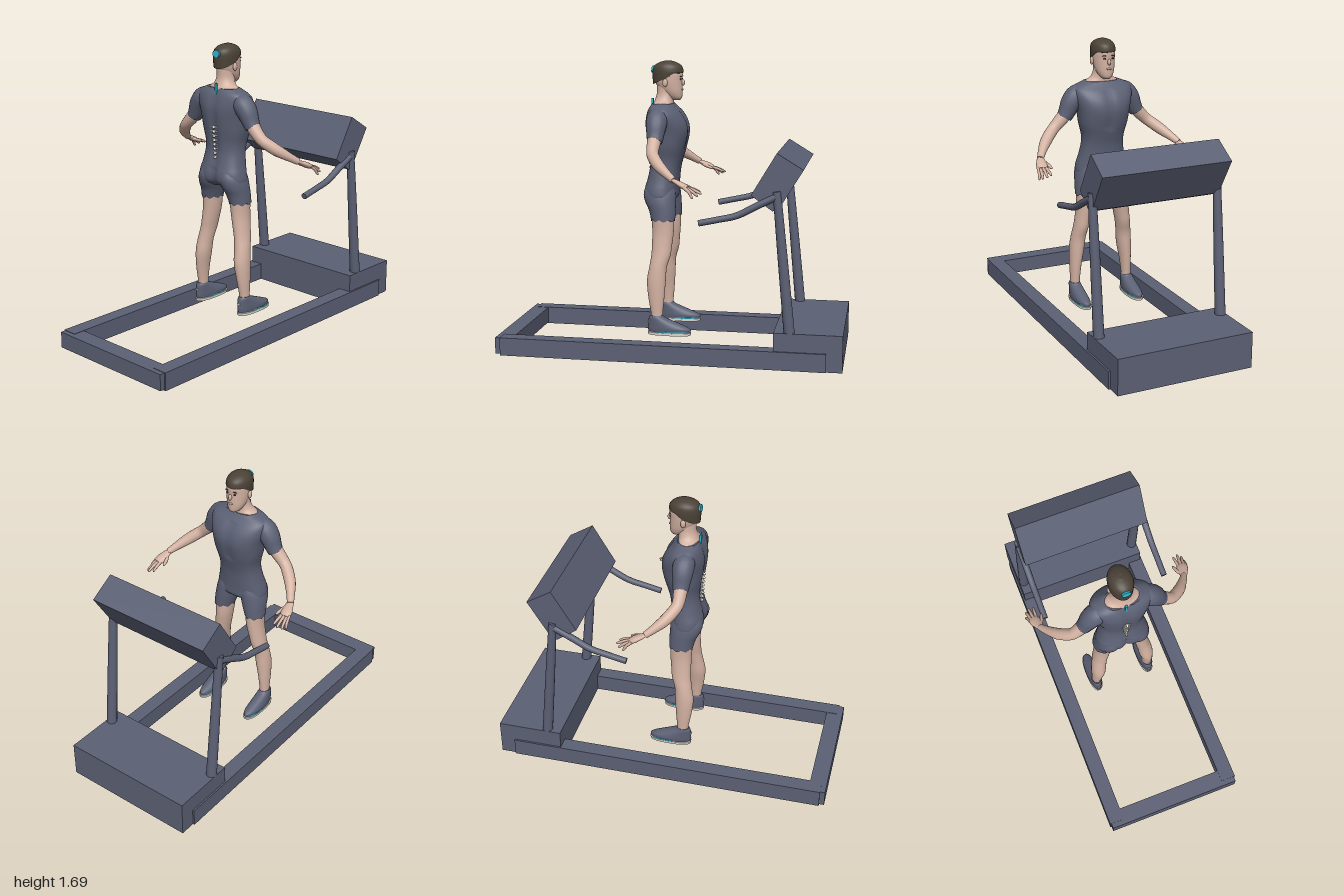
import * as THREE from 'three';

const mat = (name, color) => {
  const m = new THREE.MeshStandardMaterial({ color });
  m.name = name;
  return m;
};

// Smoothly resample rows of numbers, four steps per span
function resample(rows, steps = 4) {
  const size = rows[0].length;
  const spline = new THREE.CubicInterpolant(
    new Float32Array(rows.map((_, i) => i)), new Float32Array(rows.flat()), size);
  const out = [];
  for (let i = 0; i <= (rows.length - 1) * steps; i++) out.push(Array.from(spline.evaluate(i / steps)));
  return out;
}

// Skin a list of closed rings and cap both ends with a crisp edge
function skin(rings) {
  const n = rings[0].length;
  const centre = (ring) => {
    const c = new THREE.Vector3();
    ring.forEach((p) => c.add(p));
    c.divideScalar(n);
    return ring.map(() => c);
  };
  const first = rings[0], last = rings[rings.length - 1];
  const all = [centre(first), first, ...rings, last, centre(last)];
  const index = [];
  for (let i = 0; i < all.length - 1; i++) {
    for (let j = 0; j < n; j++) {
      const k = (j + 1) % n;
      const a = i * n + j, b = a + n, c = (i + 1) * n + k, d = i * n + k;
      index.push(a, b, c, a, c, d);
    }
  }
  const g = new THREE.BufferGeometry().setFromPoints(all.flat());
  g.setIndex(index);
  g.computeVertexNormals();
  return g;
}

// Upright loft; each section is [y, halfWidth, zFront, zBack, centreX]
function loft(sections, { power = 1, sides = 32, shape = null } = {}) {
  const pw = (v) => Math.sign(v) * Math.abs(v) ** power;
  return skin(resample(sections.map((s) => [s[0], s[1], s[2], s[3], s[4] ?? 0])).map(([y, rx, zf, zb, cx]) =>
    Array.from({ length: sides }, (_, j) => {
      const a = (j / sides) * Math.PI * 2;
      const p = new THREE.Vector3(cx + rx * pw(Math.cos(a)), y,
        (zf + zb) / 2 + ((zb - zf) / 2) * pw(Math.sin(a)));
      if (shape) shape(p, a);
      return p;
    })));
}

// Tapered limb through [x, y, z, radius]; flat squeezes its height
function limb(points, flat = 1, sides = 16) {
  const rows = resample(points);
  const X = new THREE.Vector3(1, 0, 0);
  const at = (i) => new THREE.Vector3(...rows[Math.min(Math.max(i, 0), rows.length - 1)].slice(0, 3));
  return skin(rows.map((row, i) => {
    const t = at(i + 1).sub(at(i - 1)).normalize();
    const u = t.clone().cross(X).normalize();
    const v = t.clone().cross(u);
    return Array.from({ length: sides }, (_, j) => {
      const a = (j / sides) * Math.PI * 2;
      return at(i).addScaledVector(u, row[3] * flat * Math.cos(a)).addScaledVector(v, -row[3] * Math.sin(a));
    });
  }));
}

export function createModel() {
  const slate = mat('slate', 0x5b6074), skinTone = mat('skin', 0xd3b2a2), hairBrown = mat('hairBrown', 0x4b4237);
  const teal = mat('teal', 0x2fb4cc), bone = mat('bone', 0xe4e2da), dark = mat('dark', 0x33302f);
  const model = new THREE.Group();
  const treadmill = new THREE.Group(), person = new THREE.Group();
  treadmill.name = 'treadmill';
  person.name = 'person';
  model.add(treadmill, person);

  const add = (parent, name, geometry, material, x = 0, y = 0, z = 0) => {
    const m = new THREE.Mesh(geometry, material);
    m.name = name;
    m.position.set(x, y, z);
    parent.add(m);
    return m;
  };
  const ball = (parent, name, material, r, pos, scale) =>
    add(parent, name, new THREE.SphereGeometry(r, 20, 14), material, ...pos).scale.set(...scale);

  // Treadmill base
  add(treadmill, 'rearCrossbar', new THREE.BoxGeometry(0.82, 0.095, 0.1), slate, 0, 0.055, 0.95);
  add(treadmill, 'motorHousing', new THREE.BoxGeometry(0.815, 0.21, 0.385), slate, 0, 0.105, -0.8075);

  // Console: a slanted profile stretched across the width
  const profile = new THREE.Shape([[0.62, 1.21], [0.48, 0.975], [0.60, 0.89], [0.636, 0.905], [0.767, 1.12]]
    .map((p) => new THREE.Vector2(...p)));
  const consoleGeo = new THREE.ExtrudeGeometry(profile, { depth: 0.77, bevelEnabled: false });
  consoleGeo.rotateY(Math.PI / 2).translate(-0.385, 0, 0);
  add(treadmill, 'console', consoleGeo, slate);

  // Rails, posts and handles on both sides
  for (const s of [-1, 1]) {
    add(treadmill, 'sideRail', new THREE.BoxGeometry(0.09, 0.105, 1.88), slate, s * 0.373, 0.0525, 0.03);
    add(treadmill, 'post', limb([[s * 0.378, 0.19, -0.703, 0.031], [s * 0.378, 0.6, -0.662, 0.028],
      [s * 0.378, 1.0, -0.622, 0.023]]), slate);
    add(treadmill, 'handle', limb([[s * 0.38, 0.97, -0.62, 0.02], [s * 0.38, 0.92, -0.52, 0.02],
      [s * 0.38, 0.86, -0.405, 0.019], [s * 0.38, 0.834, -0.3, 0.018], [s * 0.38, 0.81, -0.19, 0.018]]), slate);
  }

  // Torso, with a furrow down the back and a softer one between the chest muscles
  add(person, 'torso', loft([
    [0.87, 0.11, 0.03, 0.14], [0.9, 0.155, -0.004, 0.178], [0.95, 0.153, -0.008, 0.185],
    [1.0, 0.14, -0.012, 0.172], [1.07, 0.127, -0.02, 0.157], [1.13, 0.128, -0.035, 0.157],
    [1.2, 0.145, -0.055, 0.167], [1.28, 0.157, -0.07, 0.178], [1.34, 0.172, -0.06, 0.18],
    [1.39, 0.18, -0.03, 0.17], [1.42, 0.165, 0.0, 0.158], [1.445, 0.108, 0.02, 0.143],
  ], { power: 0.85, sides: 56, shape: (p) => {
    const back = p.z > 0.08;
    const low = p.y < 0.98 ? 0.02 : 0.012;
    p.z -= (back ? low : p.y > 1.18 && p.y < 1.4 ? -0.008 : 0) * Math.exp(-((p.x / 0.025) ** 2));
  } }), slate);
  add(person, 'neck', loft([[1.42, 0.12, 0.025, 0.14], [1.445, 0.098, 0.022, 0.138], [1.465, 0.067, 0.02, 0.13],
    [1.5, 0.052, 0.015, 0.12], [1.55, 0.05, 0.01, 0.12]]), skinTone);

  // Head, nose, ears and face
  add(person, 'head', loft([[1.465, 0.02, -0.018, 0.03], [1.48, 0.037, -0.028, 0.06], [1.51, 0.052, -0.031, 0.09],
    [1.545, 0.06, -0.031, 0.118], [1.58, 0.064, -0.03, 0.132], [1.62, 0.064, -0.031, 0.137],
    [1.655, 0.055, -0.015, 0.12], [1.675, 0.03, 0.015, 0.09]]), skinTone);
  ball(person, 'nose', skinTone, 0.012, [0, 1.565, -0.033], [0.8, 1.5, 1]);
  ball(person, 'lips', skinTone, 0.016, [0, 1.525, -0.028], [1, 0.4, 0.5]);

  // Hair cap, its lower edge rising from nape to forehead
  add(person, 'hair', loft([[1.59, 0.068, -0.033, 0.142], [1.63, 0.069, -0.036, 0.146],
    [1.66, 0.062, -0.026, 0.136], [1.68, 0.042, 0.003, 0.106], [1.69, 0.014, 0.035, 0.072]],
  { shape: (p, a) => {
    const drop = THREE.MathUtils.clamp((1.63 - p.y) / 0.04, 0, 1);
    const rise = Math.sin(a);
    p.y += drop * (rise > 0 ? -0.035 * rise : 0.03 * Math.min(1, -2 * rise));
  } }), hairBrown);

  // Teal sensors on the head and neck
  const disc = add(person, 'headSensor', new THREE.CylinderGeometry(0.026, 0.026, 0.012, 20), teal, 0, 1.64, 0.142);
  disc.rotation.x = Math.PI / 2 - 0.12;
  disc.scale.z = 0.8;
  add(person, 'neckSensor', new THREE.BoxGeometry(0.014, 0.085, 0.012), teal, 0, 1.43, 0.146);

  // Exposed vertebrae
  for (let i = 0; i < 8; i++) {
    const y = 1.045 + i * 0.0255, z = 0.15 + (y - 1.045) * 0.06;
    const wide = 0.02 + i * 0.0045;
    add(person, 'vertebraWing', new THREE.CylinderGeometry(0.005, 0.005, wide, 8), bone, 0, y, z)
      .rotation.z = Math.PI / 2;
    ball(person, 'vertebra', bone, 0.009, [0, y - 0.003, z + 0.004], [0.8, 0.9, 1.5]);
  }

  // Arms, legs and facial pairs, mirrored
  for (const s of [1, -1]) {
    const side = new THREE.Group();
    side.name = s > 0 ? 'leftSide' : 'rightSide';
    side.scale.x = s;
    person.add(side);

    ball(side, 'ear', skinTone, 0.02, [0.067, 1.565, 0.06], [0.5, 1.2, 0.75]);
    ball(side, 'eye', dark, 0.008, [0.025, 1.585, -0.024], [1.3, 0.6, 0.5]);
    ball(side, 'eyebrow', hairBrown, 0.012, [0.026, 1.601, -0.025], [1.2, 0.25, 0.4]);

    add(side, 'sleeve', limb([[0.1, 1.385, 0.085, 0.045], [0.15, 1.366, 0.088, 0.061], [0.187, 1.325, 0.088, 0.059],
      [0.212, 1.275, 0.088, 0.05], [0.232, 1.24, 0.088, 0.044]]), slate);
    add(side, 'arm', limb([[0.2, 1.29, 0.088, 0.04], [0.245, 1.235, 0.09, 0.039], [0.295, 1.185, 0.088, 0.034],
      [0.335, 1.152, 0.065, 0.034], [0.375, 1.118, 0.03, 0.032], [0.415, 1.082, -0.02, 0.024],
      [0.442, 1.055, -0.06, 0.019]]), skinTone);
    add(side, 'palm', limb([[0.437, 1.06, -0.05, 0.018], [0.446, 1.045, -0.08, 0.026],
      [0.455, 1.028, -0.115, 0.033], [0.46, 1.016, -0.14, 0.027]], 0.5), skinTone);
    for (const [x0, x1, y1, z1] of [[0.482, 0.493, 0.968, -0.178], [0.471, 0.484, 0.978, -0.204],
      [0.456, 0.464, 0.987, -0.22], [0.441, 0.437, 0.993, -0.21]]) {
      add(side, 'finger', limb([[x0, 1.022, -0.125, 0.0095], [(x0 + x1) / 2, (1.028 + y1) / 2, (z1 - 0.13) / 2, 0.009],
        [x1, y1 + 0.004, z1 + 0.008, 0.007], [x1, y1, z1, 0.002]], 1, 8), skinTone);
    }
    add(side, 'thumb', limb([[0.438, 1.045, -0.075, 0.012], [0.42, 1.03, -0.105, 0.011],
      [0.41, 1.018, -0.14, 0.008], [0.409, 1.014, -0.15, 0.002]], 1, 8), skinTone);

    add(side, 'shortsLeg', loft([[0.775, 0.059, -0.007, 0.133, 0.112], [0.83, 0.067, -0.008, 0.148, 0.101],
      [0.88, 0.074, -0.007, 0.173, 0.09], [0.93, 0.072, -0.004, 0.183, 0.08], [0.98, 0.05, 0.01, 0.165, 0.075]],
    { shape: (p, a) => { p.y += p.y < 0.78 ? 0.007 * Math.sin(a * 8) : 0; } }), slate);
    add(side, 'leg', loft([[0.19, 0.029, 0.055, 0.125, 0.171], [0.23, 0.028, 0.055, 0.124, 0.17],
      [0.32, 0.034, 0.047, 0.14, 0.166], [0.42, 0.043, 0.04, 0.15, 0.157], [0.5, 0.044, 0.035, 0.138, 0.149],
      [0.57, 0.044, 0.015, 0.128, 0.137], [0.63, 0.046, 0.008, 0.126, 0.126], [0.71, 0.05, 0, 0.126, 0.114],
      [0.81, 0.057, -0.002, 0.133, 0.108]]), skinTone);

    // Shoe with teal band and pale sole
    add(side, 'shoe', loft([[0.126, 0.041, -0.11, 0.14, 0.172], [0.145, 0.043, -0.108, 0.143, 0.172],
      [0.165, 0.041, -0.065, 0.142, 0.172], [0.19, 0.037, 0.0, 0.14, 0.172], [0.208, 0.034, 0.042, 0.136, 0.172],
      [0.22, 0.029, 0.055, 0.128, 0.172]]), slate);
    add(side, 'shoeBand', loft([[0.121, 0.042, -0.108, 0.12, 0.172], [0.13, 0.043, -0.105, 0.12, 0.172]]), teal);
    add(side, 'sole', loft([[0.107, 0.041, -0.11, 0.14, 0.172], [0.123, 0.043, -0.114, 0.143, 0.172]],
      { power: 0.8 }), bone);
    add(side, 'heelTab', new THREE.BoxGeometry(0.02, 0.009, 0.008), bone, 0.172, 0.18, 0.14);
  }
  return model;
}
